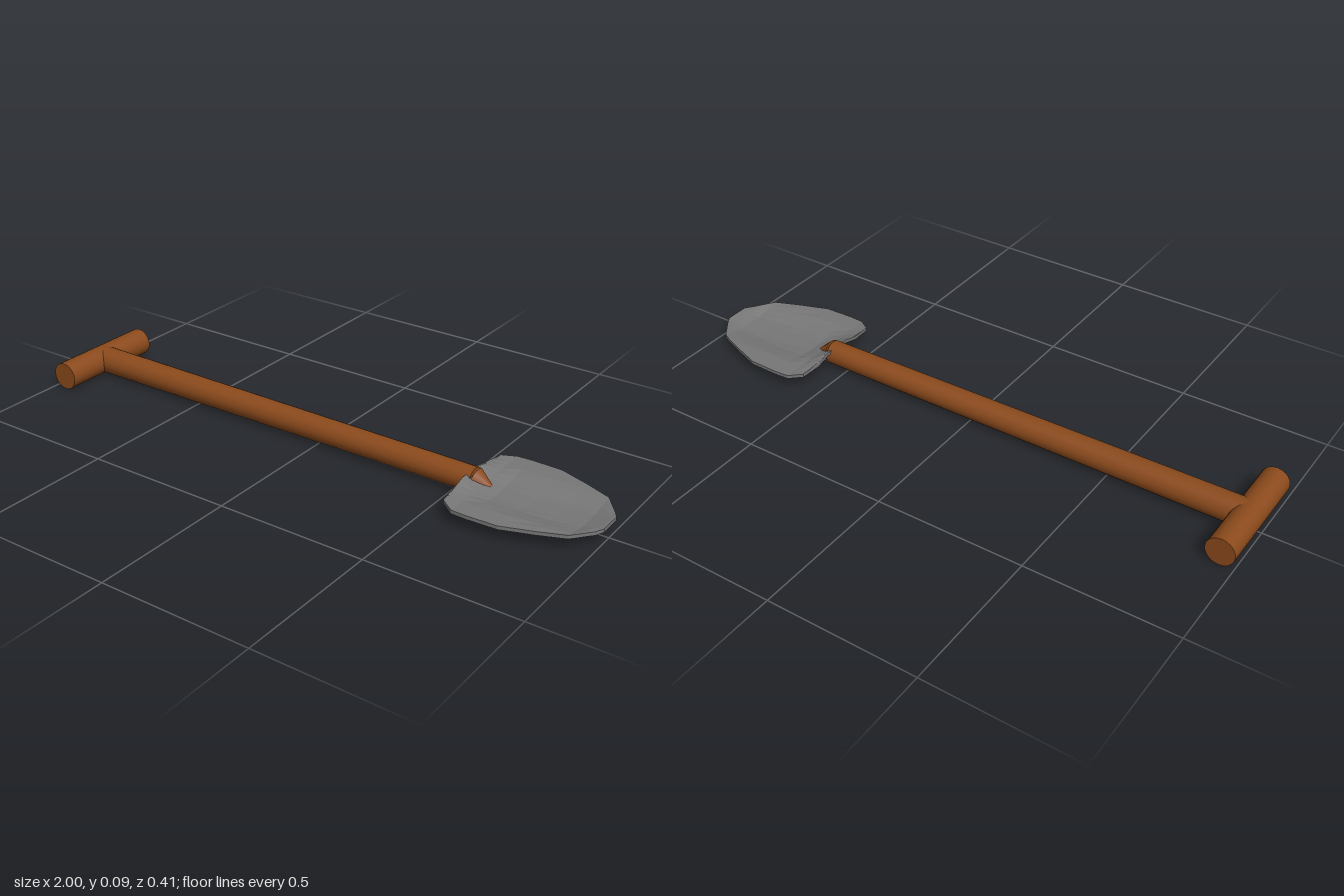
import * as THREE from 'three';

const wood = new THREE.MeshStandardMaterial({ color: 0x8b4a1c });
const metal = new THREE.MeshStandardMaterial({ color: 0x777777, flatShading: true });

// Round bar running from point a to point b
function bar(name, a, b, ra, rb) {
  const from = new THREE.Vector3(...a), to = new THREE.Vector3(...b);
  const mesh = new THREE.Mesh(new THREE.CylinderGeometry(rb, ra, from.distanceTo(to), 20), wood);
  mesh.position.addVectors(from, to).multiplyScalar(0.5);
  mesh.quaternion.setFromUnitVectors(new THREE.Vector3(0, 1, 0), to.sub(from).normalize());
  mesh.name = name;
  return mesh;
}

// Blade lofted along x: [x, half width, centre height, rim height]
function bladeGeometry() {
  const stations = [
    [0.55, 0.1, 0.073, 0.052], [0.557, 0.17, 0.071, 0.055], [0.6, 0.2, 0.05, 0.05],
    [0.65, 0.203, 0.034, 0.05], [0.75, 0.2, 0.03, 0.05], [0.85, 0.165, 0.03, 0.05],
    [0.935, 0.13, 0.034, 0.05], [0.985, 0.065, 0.047, 0.05], [1.0, 0.04, 0.05, 0.05],
  ];
  const thickness = 0.012, n = 13, ring = 2 * n;
  const pos = [], index = [];
  for (const [x, w, centre, rim] of stations) {
    const top = [];
    for (let j = 0; j < n; j++) {
      const z = w * (j / (n - 1) * 2 - 1);
      // flat trough in the middle, sloping up to the rim
      const f = 1 - THREE.MathUtils.clamp((Math.abs(z) - 0.05) / 0.08, 0, 1);
      top.push([x, rim + (centre - rim) * f, z]);
    }
    for (const p of top) pos.push(...p);
    for (const [px, py, pz] of top.reverse()) pos.push(px, py - thickness, pz);
  }
  for (let i = 0; i < stations.length - 1; i++) {
    for (let j = 0; j < ring; j++) {
      const a = i * ring + j, b = i * ring + (j + 1) % ring;
      index.push(a, b, a + ring, b, b + ring, a + ring);
    }
  }
  // rear and front edges
  const last = (stations.length - 1) * ring;
  for (let j = 0; j < n - 1; j++) {
    const a = j, b = j + 1, c = ring - 1 - j, d = ring - 2 - j;
    index.push(a, c, b, b, c, d);
    index.push(last + a, last + b, last + c, last + b, last + d, last + c);
  }
  const geo = new THREE.BufferGeometry();
  geo.setAttribute('position', new THREE.Float32BufferAttribute(pos, 3));
  geo.setIndex(index);
  geo.computeVertexNormals();
  return geo;
}

export function createModel() {
  const group = new THREE.Group();
  group.name = 'shovel';

  // Crossbar grip, long shaft and its pointed end
  group.add(bar('grip', [-0.953, 0.048, -0.19], [-0.953, 0.048, 0.19], 0.047, 0.047));
  group.add(bar('shaft', [-0.95, 0.049, 0], [0.565, 0.047, 0], 0.046, 0.04));
  group.add(bar('shaftTip', [0.565, 0.047, 0], [0.62, 0.034, 0], 0.04, 0.01));

  const blade = new THREE.Mesh(bladeGeometry(), metal);
  blade.name = 'blade';
  group.add(blade);
  return group;
}
